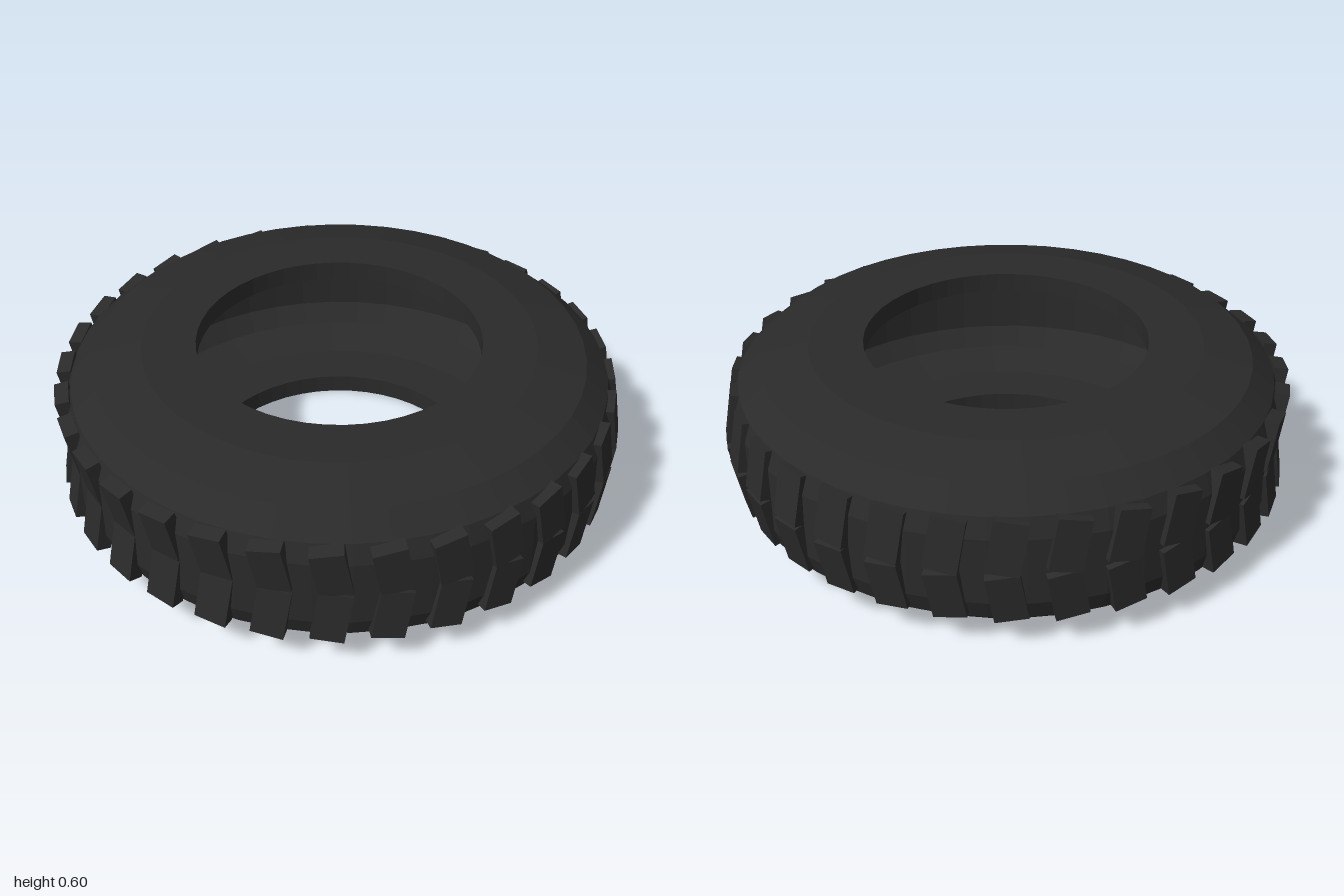
import * as THREE from 'three';

const rubber = new THREE.MeshStandardMaterial({ color: 0x2a2a2a, flatShading: true });
rubber.name = 'black rubber';

const HEIGHT = 0.6;
const LUGS = 32;
const TILT = 0.2;

// Hollow carcass: lower half of the section, mirrored to the upper half
function createCarcass() {
  const outer = [[0.5, 0], [0.69, 0], [0.86, 0.04], [0.94, 0.11], [0.963, 0.18]];
  const inner = [[0.88, 0.18], [0.83, 0.11], [0.68, 0.07], [0.5, 0.07]];
  const mirror = (half) => half.map(([r, y]) => [r, HEIGHT - y]).reverse();
  const section = [...outer, ...mirror(outer), ...mirror(inner), ...inner, outer[0]];
  const points = section.map(([r, y]) => new THREE.Vector2(r, y));
  const mesh = new THREE.Mesh(new THREE.LatheGeometry(points, 48), rubber);
  mesh.name = 'carcass';
  return mesh;
}

// Two rows of lugs; both rows lean toward +x where they meet in the middle
function createTread() {
  const tread = new THREE.Group();
  tread.name = 'tread';
  const lugShape = new THREE.BoxGeometry(0.05, 0.182, 0.11);
  for (const side of [1, -1]) {
    const row = new THREE.Group();
    row.name = side > 0 ? 'upperLugRow' : 'lowerLugRow';
    for (let i = 0; i < LUGS; i++) {
      const angle = (i / LUGS) * Math.PI * 2;
      const lean = new THREE.Group();
      lean.name = 'lug';
      lean.position.set(Math.cos(angle) * 0.955, 0.304 + side * 0.092, Math.sin(angle) * 0.955);
      lean.rotation.z = side * TILT;
      const block = new THREE.Mesh(lugShape, rubber);
      block.name = 'lugBlock';
      block.rotation.y = -angle;
      lean.add(block);
      row.add(lean);
    }
    tread.add(row);
  }
  return tread;
}

export function createModel() {
  const tyre = new THREE.Group();
  tyre.name = 'tyre';
  tyre.add(createCarcass(), createTread());
  return tyre;
}
